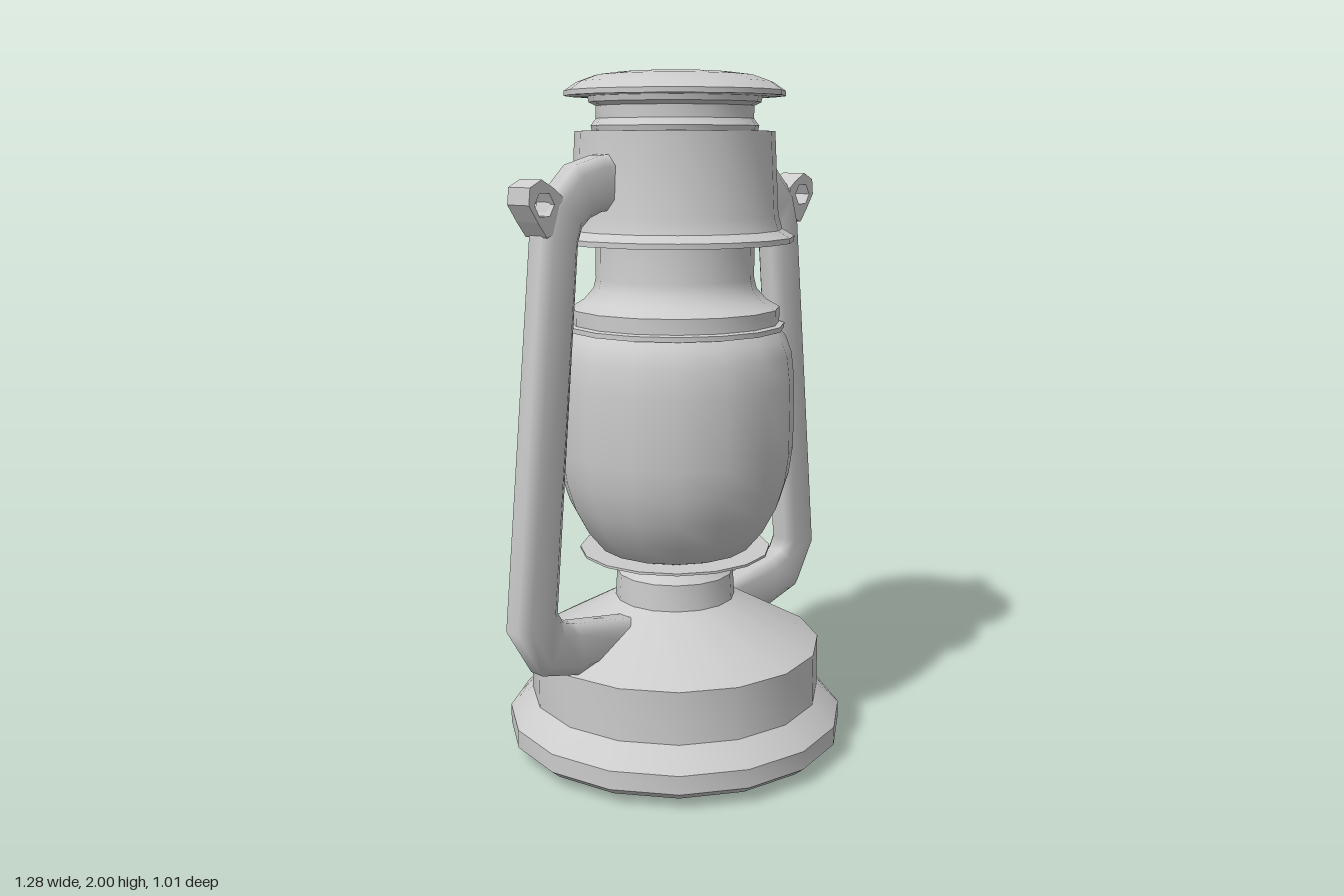
import * as THREE from 'three';
import { toCreasedNormals } from 'three/addons/utils/BufferGeometryUtils.js';

const material = new THREE.MeshStandardMaterial({ color: 0xcccccc, roughness: 0.7, side: THREE.DoubleSide });

function mesh(name, geometry) {
  const m = new THREE.Mesh(geometry, material);
  m.name = name;
  return m;
}

// Sixteen-sided turned part; profile runs from bottom to top as [radius, y]
function turned(name, profile) {
  const points = profile.map(([r, y]) => new THREE.Vector2(r, y));
  return mesh(name, toCreasedNormals(new THREE.LatheGeometry(points, 16), 0.6));
}

// Side tube: each station gives the outer and the inner edge in the xy plane
function tubeGeometry() {
  const stations = [
    [0.25, 1.775, 0.25, 1.625], [0.31, 1.77, 0.31, 1.62], [0.405, 1.745, 0.355, 1.605],
    [0.50, 1.655, 0.385, 1.58], [0.53, 1.56, 0.40, 1.54], [0.64, 0.50, 0.495, 0.53],
    [0.555, 0.36, 0.475, 0.495], [0.42, 0.325, 0.43, 0.48], [0.17, 0.34, 0.17, 0.435],
  ];
  const section = [[1, -0.5], [1, 0.5], [0.6, 1], [-0.6, 1], [-1, 0.5], [-1, -0.5], [-0.6, -1], [0.6, -1]];
  const n = section.length, positions = [], index = [];
  stations.forEach(([ox, oy, ix, iy], i) => {
    section.forEach(([a, b], j) => {
      const t = (a + 1) / 2;
      positions.push(ix + (ox - ix) * t, iy + (oy - iy) * t, b * 0.047);
      if (i === stations.length - 1) return;
      const p = i * n + j, q = i * n + (j + 1) % n;
      index.push(p, q, q + n, p, q + n, p + n);
    });
  });
  const g = new THREE.BufferGeometry();
  g.setAttribute('position', new THREE.Float32BufferAttribute(positions, 3));
  g.setIndex(index);
  g.computeVertexNormals();
  return g;
}

// Lug with a hole, for the carrying wire
function lugGeometry() {
  const shape = new THREE.Shape([
    [0.47, 1.665], [0.495, 1.685], [0.54, 1.71], [0.58, 1.69],
    [0.585, 1.645], [0.555, 1.60], [0.525, 1.56], [0.47, 1.58],
  ].map(([x, y]) => new THREE.Vector2(x, y)));
  const hole = new THREE.Path();
  hole.absarc(0.532, 1.645, 0.034, 0, Math.PI * 2, true);
  shape.holes.push(hole);
  const g = new THREE.ExtrudeGeometry(shape, { depth: 0.086, bevelEnabled: false, curveSegments: 3 });
  return g.translate(0, 0, -0.043);
}

export function createModel() {
  const lantern = new THREE.Group();
  lantern.name = 'lantern';

  // Fuel tank with sloping shoulder and burner collar
  lantern.add(turned('fuelTank', [
    [0, 0], [0.40, 0.005], [0.475, 0.025], [0.505, 0.05], [0.505, 0.105], [0.475, 0.135],
    [0.437, 0.165], [0.437, 0.32], [0.18, 0.462], [0.175, 0.54], [0.15, 0.565], [0.15, 0.60],
  ]));

  // Dished plate under the globe
  lantern.add(turned('globePlate', [[0.14, 0.575], [0.20, 0.583], [0.285, 0.605], [0.285, 0.612], [0.12, 0.612]]));

  // Glass globe
  lantern.add(turned('globe', [
    [0.18, 0.605], [0.225, 0.62], [0.275, 0.68], [0.315, 0.755], [0.34, 0.835], [0.352, 0.92],
    [0.352, 1.12], [0.343, 1.20], [0.325, 1.25], [0.30, 1.278],
  ]));

  // Globe holder and chimney neck
  lantern.add(turned('chimney', [
    [0.28, 1.272], [0.32, 1.274], [0.32, 1.288], [0.305, 1.292], [0.305, 1.335],
    [0.265, 1.358], [0.237, 1.39], [0.23, 1.42], [0.23, 1.56],
  ]));

  // Hood with flared skirt
  lantern.add(turned('hood', [
    [0.22, 1.535], [0.345, 1.525], [0.345, 1.54], [0.31, 1.56], [0.298, 1.60], [0.286, 1.835], [0.20, 1.838],
  ]));

  // Vent neck
  lantern.add(turned('ventNeck', [
    [0.235, 1.83], [0.24, 1.85], [0.225, 1.87], [0.225, 1.905], [0.245, 1.915], [0.25, 1.94],
  ]));

  // Domed cap
  lantern.add(turned('cap', [
    [0.22, 1.93], [0.315, 1.932], [0.315, 1.946], [0.28, 1.97], [0.23, 1.988], [0.16, 1.997], [0, 2.0],
  ]));

  // Side tubes and lugs, the second pair turned half round
  for (const [side, angle] of [['left', 0], ['right', Math.PI]]) {
    const frame = new THREE.Group();
    frame.name = side + 'SideFrame';
    frame.add(mesh(side + 'SideTube', tubeGeometry()), mesh(side + 'HandleLug', lugGeometry()));
    frame.rotation.y = angle;
    lantern.add(frame);
  }
  return lantern;
}
